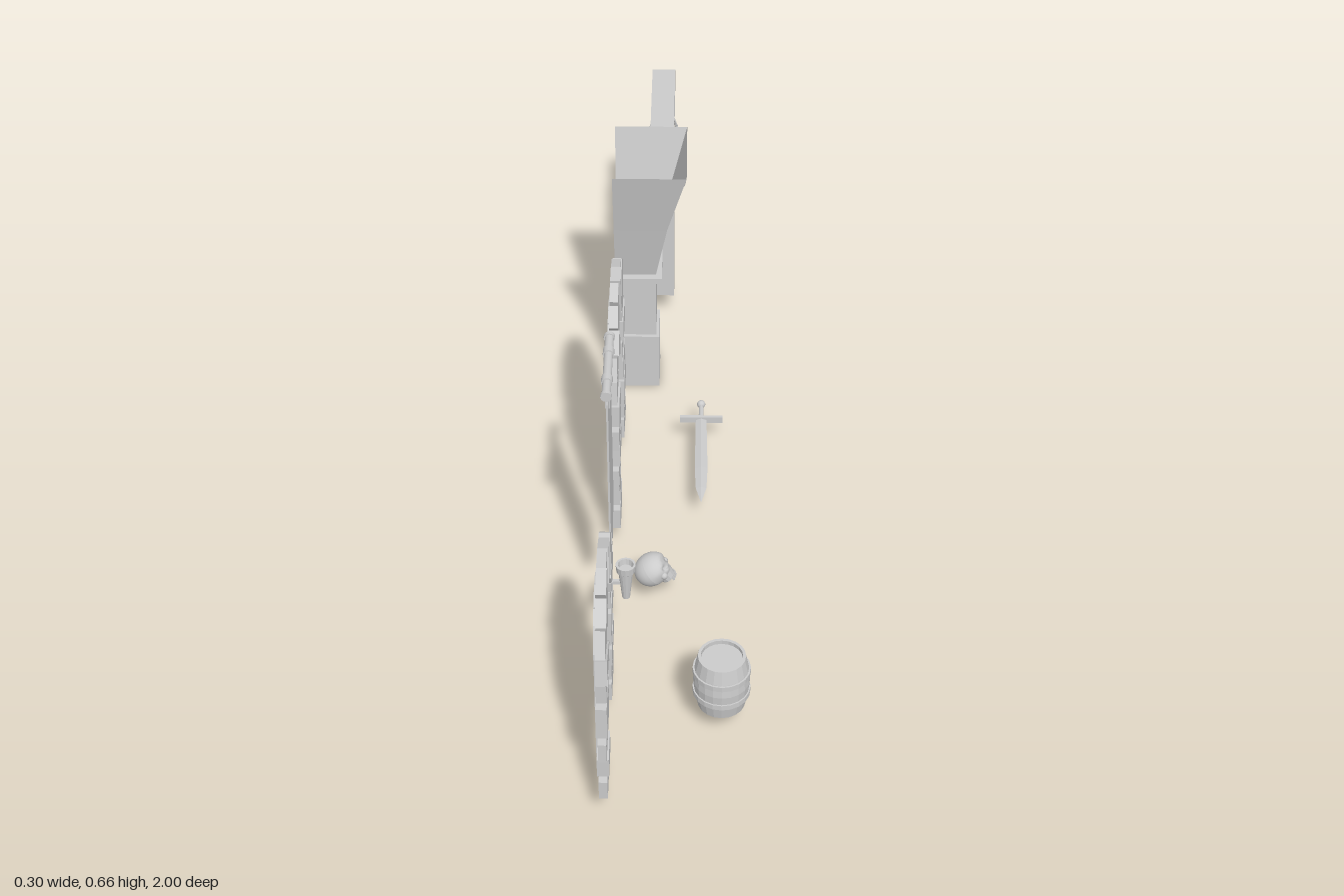
import * as THREE from 'three';

const grey = new THREE.MeshStandardMaterial({ color: 0xcccccc, side: THREE.DoubleSide });
const flat = new THREE.MeshStandardMaterial({ color: 0xcccccc, side: THREE.DoubleSide, flatShading: true });

let seed = 7;
const jitter = (a) => {
  seed = (seed * 16807) % 2147483647;
  return (seed / 2147483647 - 0.5) * 2 * a;
};

function add(parent, name, geo, x = 0, y = 0, z = 0, mat = flat) {
  const m = new THREE.Mesh(geo, mat);
  m.name = name;
  m.position.set(x, y, z);
  parent.add(m);
  return m;
}
function group(parent, name, x = 0, y = 0, z = 0) {
  const g = new THREE.Group();
  g.name = name;
  g.position.set(x, y, z);
  parent.add(g);
  return g;
}
const box = (w, h, d) => new THREE.BoxGeometry(w, h, d);
const plate = (pts, depth) => new THREE.ExtrudeGeometry(
  new THREE.Shape(pts.map(([x, y]) => new THREE.Vector2(x, y))), { depth, bevelEnabled: false });
const lathe = (pts, n) => new THREE.LatheGeometry(pts.map(([r, y]) => new THREE.Vector2(r, y)), n);

// Arched doorway, built facing +z and turned to face +x
function doorway(parent, name, z, o) {
  const g = group(parent, name, -0.152, 0, z);
  g.rotation.y = Math.PI / 2;
  // Vertical planks with tops cut along the arch
  const R = o.r + 0.012, pw = 2 * R / o.planks;
  const top = (x) => o.spring + Math.sqrt(Math.max(0, R * R - x * x));
  for (let i = 0; i < o.planks; i++) {
    const a = -R + i * pw + 0.0012, b = a + pw - 0.0024, m = (a + b) / 2;
    add(g, 'plank', plate([[a, 0.056], [b, 0.056], [b, top(b)], [m, top(m)], [a, top(a)]], 0.010 + jitter(0.0015)));
  }
  for (const y of o.bands) add(g, 'doorBand', box(2 * o.r, 0.014, 0.005), 0, y, 0.0125);
  // Jamb stones, alternating long and short
  const h = (o.spring - 0.06) / o.rows;
  for (const s of [-1, 1]) for (let i = 0; i < o.rows; i++) {
    const inner = o.r - (i % 2 ? 0 : 0.007) + jitter(0.003);
    const outer = o.R + (i % 2 ? -0.008 : 0.006) + jitter(0.004);
    const st = add(g, 'jambStone', box(outer - inner, h - 0.003, 0.02 + jitter(0.004)),
      s * (inner + outer) / 2, 0.06 + h * (i + 0.5), 0.016);
    st.rotation.z = jitter(0.025);
  }
  // Wedge stones round the arch
  for (let i = 0; i < o.arch; i++) {
    const t = Math.PI / o.arch, a = i * t + 0.015, b = (i + 1) * t - 0.015;
    const ri = o.r + jitter(0.004), ro = o.R + jitter(0.006) - 0.003;
    const p = (r, k) => [r * Math.cos(k), o.spring + r * Math.sin(k)];
    add(g, 'archStone', plate([p(ri, a), p(ro, a), p(ro, b), p(ri, b)], 0.02 + jitter(0.003)), 0, 0, 0.006);
  }
  return g;
}

// Three-sided hollow pillar: one strip per pair of profile levels, open at the back
function pillar(parent) {
  const g = group(parent, 'flaredPillar', 0, 0, -0.435);
  const prof = [[0, -0.05, 0.056], [0.147, -0.05, 0.056], [0.147, -0.057, 0.046], [0.307, -0.057, 0.046],
    [0.307, -0.043, 0.064], [0.321, -0.043, 0.064], [0.321, -0.057, 0.046], [0.466, -0.03, 0.077], [0.628, 0.015, 0.114]];
  const pos = [], idx = [];
  prof.forEach(([y, x, w], i) => {
    pos.push(-0.153, y, w, x, y, w, x, y, -w, -0.153, y, -w);
    if (i) for (let k = 0; k < 3; k++) {
      const a = (i - 1) * 4 + k, b = a + 4;
      idx.push(a, a + 1, b + 1, a, b + 1, b);
    }
  });
  const geo = new THREE.BufferGeometry();
  geo.setAttribute('position', new THREE.Float32BufferAttribute(pos, 3));
  geo.setIndex(idx);
  geo.computeVertexNormals();
  add(g, 'pillarShell', geo);
}

function banner(parent) {
  const g = group(parent, 'banner', -0.137, 0, 0.4);
  g.rotation.y = Math.PI / 2;
  add(g, 'cloth', plate([[-0.076, 0.255], [0, 0.195], [0.076, 0.255], [0.076, 0.607], [0.045, 0.6], [0, 0.597],
    [-0.045, 0.6], [-0.076, 0.607]], 0.004), 0, 0, -0.002);
  add(g, 'rod', new THREE.CylinderGeometry(0.009, 0.009, 0.2, 12), 0, 0.647, 0, grey).rotation.z = Math.PI / 2;
  for (const s of [-1, 1]) {
    add(g, 'strap', box(0.016, 0.07, 0.01), s * 0.046, 0.618, 0);
    add(g, 'strapLoop', new THREE.CylinderGeometry(0.0115, 0.0115, 0.018, 12), s * 0.046, 0.647, 0, grey).rotation.z = Math.PI / 2;
    add(g, 'rodEnd', new THREE.CylinderGeometry(0.0115, 0.0115, 0.008, 12), s * 0.097, 0.647, 0, grey).rotation.z = Math.PI / 2;
  }
}

function lampPost(parent) {
  const g = group(parent, 'lampPost', -0.046, 0, 0);
  add(g, 'post', box(0.057, 0.41, 0.056), 0, 0.265, -0.703);
  add(g, 'beam', box(0.057, 0.056, 0.325), 0, 0.497, -0.8375);
  add(g, 'brace', box(0.026, 0.175, 0.022), 0, 0.418, -0.782).rotation.x = -Math.PI / 4;
  // Hanging cage lamp
  const lamp = group(g, 'lamp', 0, 0, -0.945);
  add(lamp, 'lampBase', new THREE.CylinderGeometry(0.056, 0.056, 0.01, 20), 0, 0.23, 0);
  add(lamp, 'lampCap', lathe([[0, 0.438], [0.012, 0.446], [0.024, 0.442], [0.026, 0.432], [0.02, 0.425], [0, 0.425]].reverse(), 16), 0, 0, 0);
  add(lamp, 'hook', new THREE.TorusGeometry(0.013, 0.003, 6, 14), 0, 0.457, 0, grey).rotation.y = Math.PI / 2;
  const prof = [[0.052, 0.234], [0.052, 0.27], [0.05, 0.303], [0.043, 0.35], [0.034, 0.392], [0.022, 0.428]];
  for (const [r, y] of prof.slice(1, 5))
    add(lamp, 'cageRing', new THREE.TorusGeometry(r, 0.002, 5, 24), 0, y, 0, grey).rotation.x = Math.PI / 2;
  const wire = new THREE.TubeGeometry(new THREE.CatmullRomCurve3(prof.map(([r, y]) => new THREE.Vector3(r, y, 0))), 12, 0.002, 5);
  for (let i = 0; i < 10; i++) add(lamp, 'cageWire', wire, 0, 0, 0, grey).rotation.y = i * Math.PI / 5;
}

function sword(parent) {
  const g = group(parent, 'sword', 0.051, 0.068, -0.163);
  const blade = add(g, 'blade', lathe([[0.0125, 0], [0.0145, 0.18], [0.012, 0.25], [0, 0.3]], 4));
  blade.rotation.x = Math.PI / 2;
  blade.scale.z = 0.35;
  add(g, 'guard', box(0.1, 0.016, 0.008));
  add(g, 'grip', new THREE.CylinderGeometry(0.006, 0.005, 0.05, 8), 0, 0, -0.027).rotation.x = Math.PI / 2;
  add(g, 'pommel', new THREE.SphereGeometry(0.01, 10, 8), 0, 0, -0.056, grey);
}

function barrel(parent) {
  const g = group(parent, 'barrel', 0.092, 0.06, 0.74);
  add(g, 'staves', lathe([[0, 0], [0.048, 0], [0.0545, 0.032], [0.057, 0.064], [0.0545, 0.096], [0.048, 0.127],
    [0.042, 0.127], [0.042, 0.118], [0, 0.118]], 20));
  for (const y of [0.038, 0.089])
    add(g, 'hoop', lathe([[0.054, -0.006], [0.0582, -0.006], [0.0582, 0.006], [0.054, 0.006]], 20), 0, y, 0);
}

function skull(parent) {
  const g = group(parent, 'skull', -0.054, 0.082, 0.372);
  g.rotation.set(-0.65, Math.PI / 2, 0, 'YXZ');
  const geo = new THREE.SphereGeometry(1, 32, 24);
  const p = geo.attributes.position, v = new THREE.Vector3();
  for (let i = 0; i < p.count; i++) {
    v.fromBufferAttribute(p, i);
    // Narrow the lower face and press in the eye sockets and nose
    const face = Math.max(0, v.z) * Math.max(0, -v.y);
    const eye = Math.exp(-((Math.abs(v.x) - 0.36) ** 2 + (v.y + 0.12) ** 2) / 0.035);
    const nose = Math.exp(-(v.x ** 2 * 2 + (v.y + 0.48) ** 2) / 0.012);
    if (v.z > 0) v.z -= 0.35 * eye + 0.2 * nose;
    p.setXYZ(i, v.x * 0.038 * (1 - 0.5 * face), v.y * 0.035, Math.min(v.z, 0.85) * 0.04);
  }
  geo.computeVertexNormals();
  add(g, 'cranium', geo, 0, 0, 0, grey);
  add(g, 'upperJaw', new THREE.CylinderGeometry(0.02, 0.016, 0.018, 12), 0, -0.03, 0.015);
  for (let i = -2; i <= 2; i++) add(g, 'tooth', box(0.005, 0.008, 0.004), i * 0.006, -0.04, 0.031 - Math.abs(i) * 0.002);
  for (const s of [-1, 1]) add(g, 'cheekBone', new THREE.SphereGeometry(0.008, 10, 8), s * 0.024, -0.014, 0.022, grey);
}

function torch(parent) {
  const g = group(parent, 'wallTorch', -0.102, 0, 0.58);
  add(g, 'torchCup', lathe([[0, 0.195], [0.008, 0.195], [0.015, 0.262], [0.019, 0.266], [0.0205, 0.283],
    [0.016, 0.283], [0.014, 0.27], [0, 0.27]], 14));
  add(g, 'arm', box(0.03, 0.008, 0.008), -0.02, 0.236, 0);
  add(g, 'wallPlate', new THREE.CylinderGeometry(0.016, 0.016, 0.006, 14), -0.033, 0.236, 0).rotation.z = Math.PI / 2;
}

export function createModel() {
  const model = new THREE.Group();
  model.name = 'dungeonProps';
  doorway(model, 'largeDoorway', 0.003,
    { r: 0.11, R: 0.206, spring: 0.39, rows: 6, arch: 11, planks: 7, bands: [0.13, 0.2, 0.27, 0.345, 0.415] });
  const small = doorway(model, 'smallDoorway', 0.822,
    { r: 0.09, R: 0.174, spring: 0.35, rows: 6, arch: 9, planks: 4, bands: [0.13, 0.3] });
  // Ring handle
  add(small, 'handlePlate', box(0.018, 0.026, 0.006), 0.052, 0.245, 0.013);
  add(small, 'handleRing', new THREE.TorusGeometry(0.018, 0.003, 6, 18), 0.052, 0.228, 0.02, grey);
  pillar(model);
  banner(model);
  lampPost(model);
  sword(model);
  barrel(model);
  skull(model);
  torch(model);
  return model;
}
